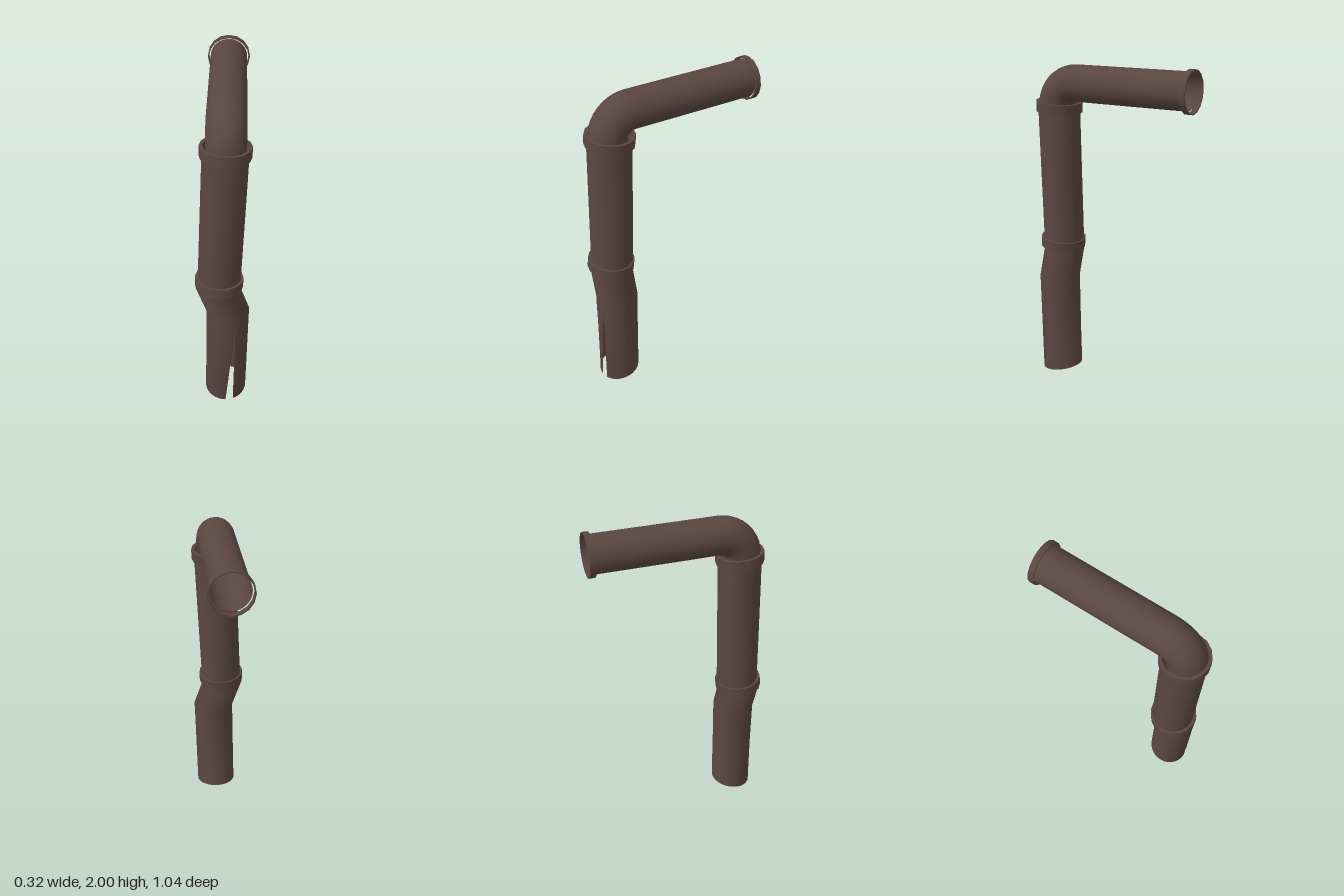
import * as THREE from 'three';
import { toCreasedNormals } from 'three/addons/utils/BufferGeometryUtils.js';

const material = new THREE.MeshStandardMaterial({ color: 0x5a4640, side: THREE.DoubleSide });
const SIDES = 32;

// Open tube through rings { c: centre, t: axis, from, to: angles measured from the front }
function pipe(name, radius, rings) {
  const pos = [], nor = [], index = [];
  const u = new THREE.Vector3(1, 0, 0);
  rings.forEach(({ c, t = [0, 1, 0], from = 0, to = Math.PI * 2 }, k) => {
    const v = u.clone().cross(new THREE.Vector3(...t));
    for (let i = 0; i <= SIDES; i++) {
      const a = from + (to - from) * i / SIDES;
      const d = u.clone().multiplyScalar(Math.sin(a)).addScaledVector(v, Math.cos(a));
      pos.push(c[0] + d.x * radius, c[1] + d.y * radius, c[2] + d.z * radius);
      d.normalize();
      nor.push(d.x, d.y, d.z);
      if (k && i < SIDES) {
        const b = k * (SIDES + 1) + i, p = b - SIDES - 1;
        index.push(p, p + 1, b + 1, p, b + 1, b);
      }
    }
  });
  const g = new THREE.BufferGeometry();
  g.setAttribute('position', new THREE.Float32BufferAttribute(pos, 3));
  g.setAttribute('normal', new THREE.Float32BufferAttribute(nor, 3));
  g.setIndex(index);
  const mesh = new THREE.Mesh(g, material);
  mesh.name = name;
  return mesh;
}

// Rectangular-section ring around an axis
function collar(name, centre, axis, inner, outer, height) {
  const h = height / 2;
  const profile = [[inner, -h], [outer, -h], [outer, h], [inner, h], [inner, -h]]
    .map(([x, y]) => new THREE.Vector2(x, y));
  const mesh = new THREE.Mesh(toCreasedNormals(new THREE.LatheGeometry(profile, 16), 0.6), material);
  mesh.name = name;
  mesh.position.set(...centre);
  mesh.quaternion.setFromUnitVectors(new THREE.Vector3(0, 1, 0), new THREE.Vector3(...axis).normalize());
  return mesh;
}

export function createModel() {
  const group = new THREE.Group();
  group.name = 'drainPipe';

  // Lower pipe: slanted foot, tapering split at the front, sideways kink at the top
  const edge = 0.39, full = Math.PI * 2;
  group.add(pipe('lowerPipe', 0.126, [
    { c: [0.017, 0.02, 0.376], t: [0, 1, 0.16], from: edge, to: full + 0.02 },
    { c: [0.029, 0.61, 0.376], from: edge, to: full + edge },
    { c: [0.031, 0.65, 0.376], from: edge, to: full + edge },
    { c: [-0.031, 0.83, 0.376], from: edge, to: full + edge },
    { c: [-0.024, 0.88, 0.376], from: edge, to: full + edge },
  ]));

  // Leaning middle pipe
  group.add(pipe('middlePipe', 0.125, [
    { c: [-0.022, 0.85, 0.372] },
    { c: [0.015, 1.73, 0.366] },
  ]));

  // Upper pipe: quarter bend, then a straight run to the back
  const bend = 0.14, cy = 1.735, cz = 0.238;
  const rings = [{ c: [0.0175, 1.7, cz + bend] }];
  for (let i = 0; i <= 10; i++) {
    const a = Math.PI / 2 * i / 10;
    rings.push({
      c: [0.0175, cy + bend * Math.sin(a), cz + bend * Math.cos(a)],
      t: [0, Math.cos(a), -Math.sin(a)],
    });
  }
  rings.push({ c: [0.0175, 1.878, -0.49], t: [0, 0, -1] });
  group.add(pipe('upperPipe', 0.108, rings));

  // Joint collars and the ring at the open end
  group.add(collar('lowerCollar', [-0.021, 0.87, 0.378], [0.035, 1, -0.08], 0.122, 0.14, 0.06));
  group.add(collar('upperCollar', [0.015, 1.732, 0.364], [0.035, 1, -0.07], 0.122, 0.14, 0.06));
  group.add(collar('endRing', [0.0175, 1.876, -0.5], [0, 0, -1], 0.117, 0.124, 0.034));
  return group;
}
